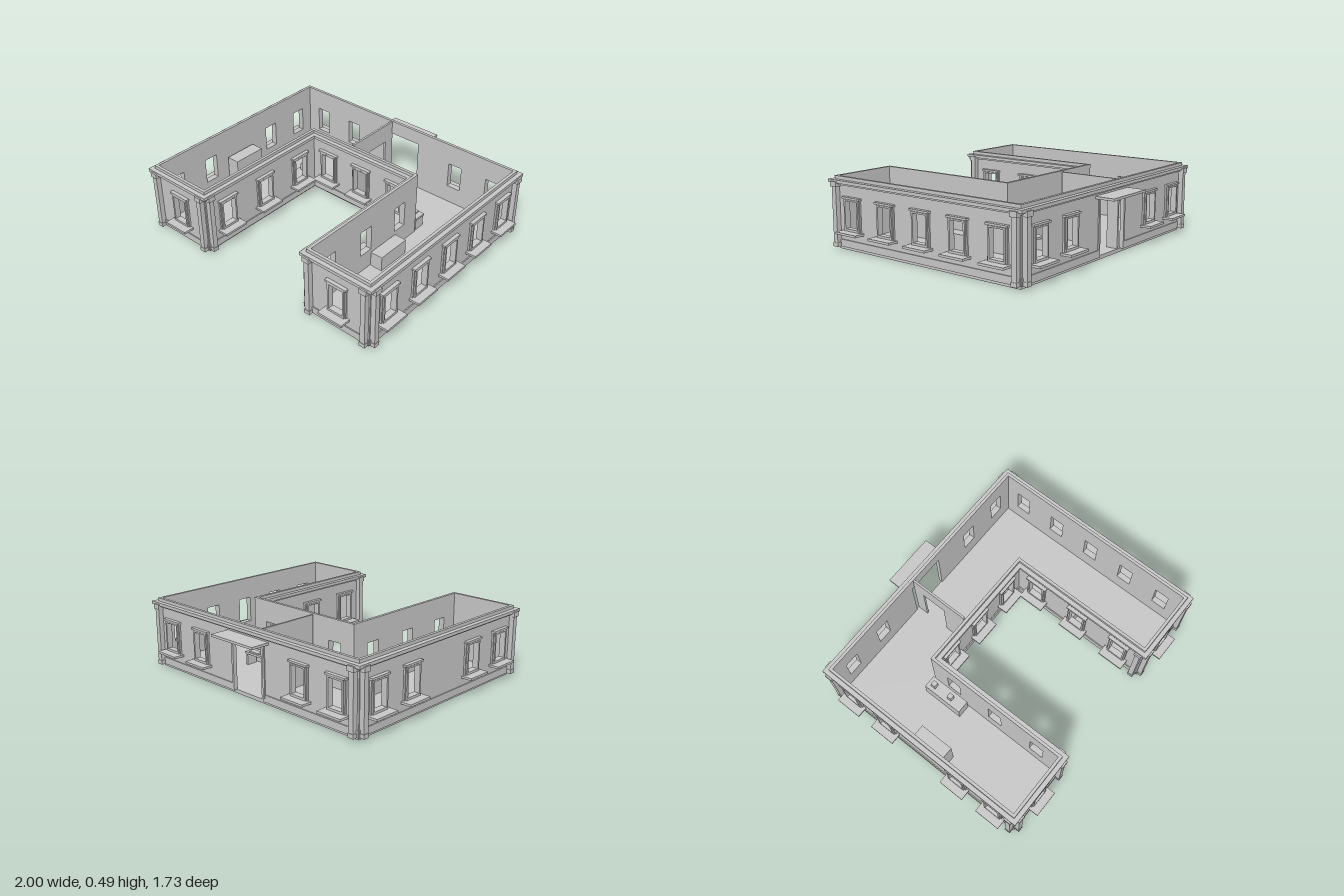
import * as THREE from 'three';

const wallMat = new THREE.MeshStandardMaterial({ color: 0xc7c7c7 });
wallMat.name = 'light grey';

const TOP = 0.485, THICK = 0.02, BASE = 0.022, PLINTH = 0.07;

function add(parent, name, geometry) {
  const mesh = new THREE.Mesh(geometry, wallMat);
  mesh.name = name;
  parent.add(mesh);
  return mesh;
}

// Box given by its extents on each axis
function box(parent, name, x0, x1, y0, y1, z0, z1) {
  const mesh = add(parent, name, new THREE.BoxGeometry(x1 - x0, y1 - y0, z1 - z0));
  mesh.position.set((x0 + x1) / 2, (y0 + y1) / 2, (z0 + z1) / 2);
  return mesh;
}

function rect(x0, x1, y0, y1) {
  return [[x0, y0], [x1, y0], [x1, y1], [x0, y1]].map(p => new THREE.Vector2(...p));
}

// Upright panel with rectangular openings, from depth z0 to z1
function panel(parent, name, outer, holes, z0, z1) {
  const shape = new THREE.Shape(outer);
  holes.forEach(h => shape.holes.push(new THREE.Path(h)));
  const geo = new THREE.ExtrudeGeometry(shape, { depth: z1 - z0, bevelEnabled: false });
  geo.translate(0, 0, z0);
  return add(parent, name, geo);
}

// U-shaped ground plan, offset outward by d
function plan(d) {
  const a = 0.925 + d, c = 0.44 - d, f = 0.785 + d, b = -0.735 - d, k = -0.25 + d;
  return [[-a, f], [-c, f], [-c, k], [c, k], [c, f], [a, f], [a, b], [-a, b]]
    .map(([x, z]) => new THREE.Vector2(x, -z));
}

// Level slab or ring that follows the plan
function course(parent, name, outer, inner, y0, y1) {
  const shape = new THREE.Shape(plan(outer));
  if (inner !== null) shape.holes.push(new THREE.Path(plan(inner)));
  const geo = new THREE.ExtrudeGeometry(shape, { depth: y1 - y0, bevelEnabled: false });
  geo.rotateX(-Math.PI / 2);
  geo.translate(0, y0, 0);
  return add(parent, name, geo);
}

// Stepped surround with a deep sill
function windowTrim(parent, x) {
  const g = new THREE.Group();
  g.name = 'window';
  g.position.x = x;
  panel(g, 'outerFrame', rect(-0.073, 0.073, 0.135, 0.35), [rect(-0.06, 0.06, 0.145, 0.34)], 0, 0.012);
  panel(g, 'innerFrame', rect(-0.064, 0.064, 0.137, 0.344), [rect(-0.052, 0.052, 0.152, 0.334)], -0.005, 0.022);
  box(g, 'windowHead', -0.08, 0.08, 0.347, 0.36, 0, 0.025);
  box(g, 'windowSill', -0.0925, 0.0925, 0.12, 0.135, -0.005, 0.075);
  parent.add(g);
}

// Narrow pier with foot and capital
function pilaster(parent, x) {
  const g = new THREE.Group();
  g.name = 'pilaster';
  g.position.x = x;
  box(g, 'pilasterShaft', -0.018, 0.018, BASE, 0.42, 0, 0.034);
  box(g, 'pilasterFoot', -0.021, 0.021, BASE, 0.05, 0, 0.037);
  box(g, 'pilasterCapital', -0.026, 0.026, 0.418, 0.452, 0, 0.041);
  parent.add(g);
}

// Outline of a panel with a doorway cut up from its bottom edge
function doorOutline(x0, x1, top, d0, d1, doorTop) {
  const outline = rect(x0, x1, BASE, top);
  const notch = [[d0, BASE], [d0, doorTop], [d1, doorTop], [d1, BASE]].map(p => new THREE.Vector2(...p));
  return [outline[0], ...notch, ...outline.slice(1)];
}

// Wall whose local +z is its outer side
function wall(parent, name, turn, x, z, length, windows, piers, door = false) {
  const g = new THREE.Group();
  g.name = name;
  g.position.set(x, 0, z);
  g.rotation.y = turn;
  const holes = windows.map(w => rect(w - 0.052, w + 0.052, 0.152, 0.334));
  const h = length / 2;
  const outline = door ? doorOutline(-h, h, TOP, -0.14, 0.14, 0.385) : rect(-h, h, BASE, TOP);
  panel(g, 'wallPanel', outline, holes, -THICK, 0);
  windows.forEach(w => windowTrim(g, w));
  piers.forEach(p => pilaster(g, p));
  parent.add(g);
  return g;
}

export function createModel() {
  const model = new THREE.Group();
  model.name = 'building';
  const Q = Math.PI / 2;

  // Floor and cornice steps
  course(model, 'floorSlab', -0.013, null, 0, 0.025);
  course(model, 'lowerCornice', 0.014, -0.005, 0.43, 0.442);
  course(model, 'cornice', 0.03, -0.005, 0.442, 0.463);

  // Outer walls
  wall(model, 'rightWall', Q, 0.925, 0.025, 1.52, [-0.595, -0.295, 0.005, 0.303, 0.6], [-0.735, 0.735]);
  wall(model, 'leftWall', -Q, -0.925, 0.025, 1.52, [-0.6, -0.303, 0.295, 0.595], [-0.735, 0.735]);
  const back = wall(model, 'backWall', Math.PI, 0, -0.735, 1.85, [-0.76, -0.457, 0.457, 0.76], [-0.895, 0.895], true);

  // Wing ends and courtyard walls
  for (const s of [-1, 1]) {
    wall(model, 'wingEndWall', 0, s * 0.6825, 0.785, 0.485, [0], [-0.215, 0.215]);
    wall(model, 'courtSideWall', -s * Q, s * 0.44, 0.2675, 1.035,
      [-0.3575, -0.0125, 0.3325].map(v => s * v), [s * 0.49]);
  }
  wall(model, 'courtBackWall', 0, 0, -0.25, 0.92, [-0.295, 0, 0.295], []);

  // Plinth strips, broken at the doorway
  for (const s of [-1, 1]) {
    box(back, 'plinth', Math.min(s * 0.155, s * 0.925), Math.max(s * 0.155, s * 0.925), BASE, PLINTH, 0, 0.007);
    box(model, 'plinth', s * 0.9285 - 0.0035, s * 0.9285 + 0.0035, BASE, PLINTH, -0.735, 0.785);
    box(model, 'plinth', s * 0.4365 - 0.0035, s * 0.4365 + 0.0035, BASE, PLINTH, -0.25, 0.785);
    box(model, 'plinth', s * 0.6825 - 0.2425, s * 0.6825 + 0.2425, BASE, PLINTH, 0.785, 0.792);
    box(back, 'doorJamb', s * 0.145 - 0.008, s * 0.145 + 0.008, BASE, 0.395, -THICK, 0.008);
  }
  box(model, 'plinth', -0.44, 0.44, BASE, PLINTH, -0.25, -0.243);
  box(back, 'doorCanopy', -0.19, 0.19, 0.4, 0.416, 0, 0.133);

  // Inner partition with a doorway, its local x running towards the back
  const partition = panel(model, 'partition', doorOutline(0.283, 0.72, 0.48, 0.46, 0.64, 0.345), [], 0, 0.015);
  partition.rotation.y = Q;
  partition.position.x = -0.115;

  // Cabinets in the two wings
  box(model, 'leftCabinet', -0.895, -0.8, 0.02, 0.27, -0.075, 0.17);
  box(model, 'rightCabinet', 0.465, 0.555, 0.02, 0.13, -0.04, 0.21);

  // Counter with two small fittings
  box(model, 'counter', -0.56, -0.47, 0.02, 0.14, -0.27, 0.025);
  for (const z of [-0.22, -0.08]) box(model, 'counterFitting', -0.535, -0.5, 0.14, 0.19, z - 0.017, z + 0.017);

  // Desk with end supports and a device on top
  box(model, 'deskTop', 0.21, 0.46, 0.105, 0.12, -0.37, -0.28);
  box(model, 'deskSupport', 0.215, 0.23, 0.02, 0.105, -0.365, -0.285);
  box(model, 'deskSupport', 0.44, 0.455, 0.02, 0.105, -0.365, -0.285);
  box(model, 'deskDevice', 0.335, 0.42, 0.12, 0.13, -0.365, -0.32);

  return model;
}
